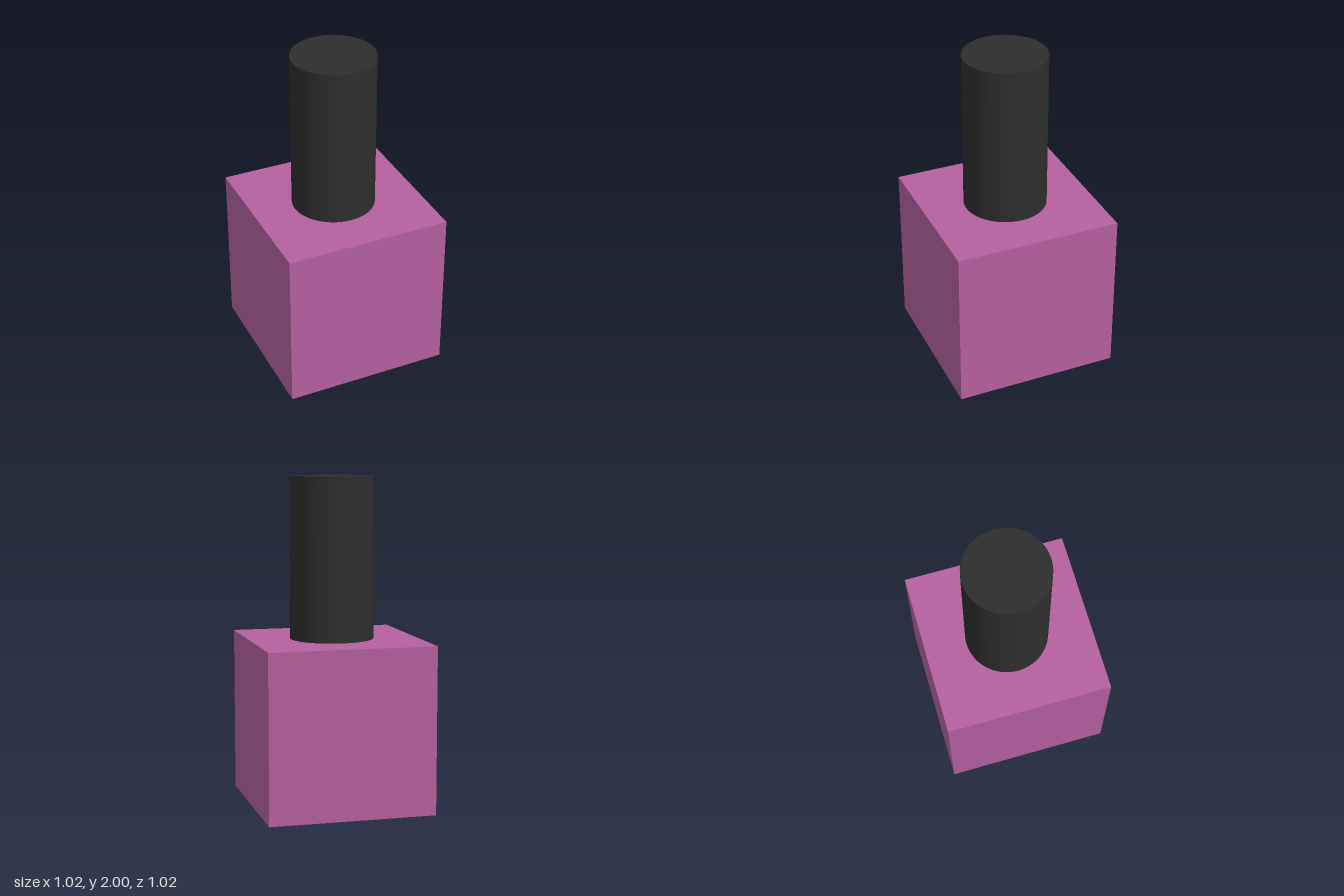
import * as THREE from 'three';

const SIZE = 1.016; // edge of the cubic bottle
const HEIGHT = 2;
const CAP_RADIUS = SIZE / 4;

function addPart(group, name, geometry, color, y) {
  const mesh = new THREE.Mesh(geometry, new THREE.MeshStandardMaterial({ color }));
  mesh.name = name;
  mesh.position.y = y;
  group.add(mesh);
}

export function createModel() {
  const model = new THREE.Group();
  model.name = 'polishBottle';

  // Cubic bottle standing on the ground
  addPart(model, 'bottle', new THREE.BoxGeometry(SIZE, SIZE, SIZE), 0xb5609f, SIZE / 2);

  // Tall round cap resting on the bottle
  const capHeight = HEIGHT - SIZE;
  addPart(model, 'cap', new THREE.CylinderGeometry(CAP_RADIUS, CAP_RADIUS, capHeight, 64),
    0x2e2e2e, SIZE + capHeight / 2);

  return model;
}
